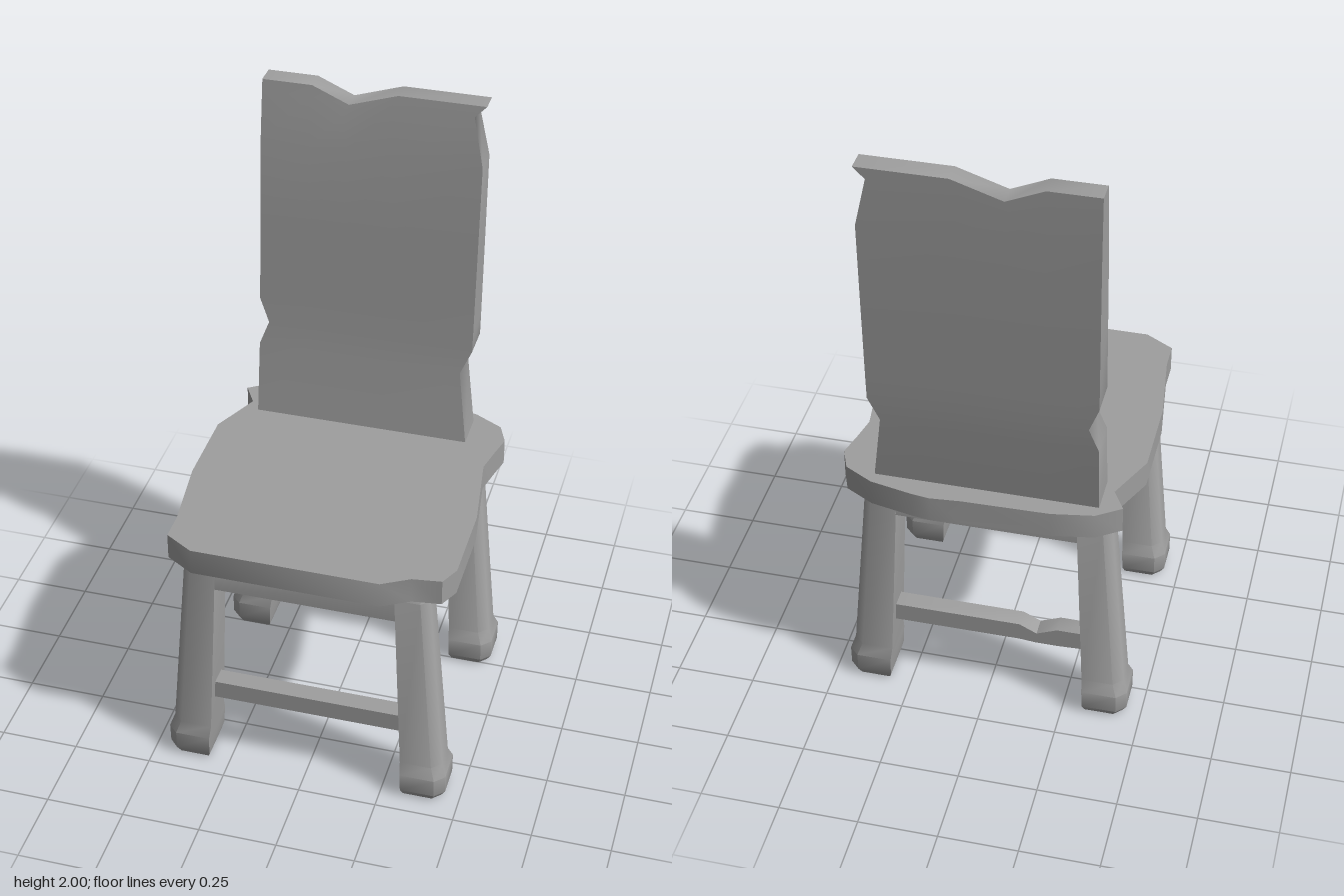
import * as THREE from 'three';
import { toCreasedNormals } from 'three/addons/utils/BufferGeometryUtils.js';

const material = new THREE.MeshStandardMaterial({ color: 0x9e9e9e });
// The legs are open at the sole, so their inside shows.
const legMaterial = new THREE.MeshStandardMaterial({ color: 0x9e9e9e, side: THREE.DoubleSide });

function addMesh(parent, geometry, name, crease, mat = material) {
  const mesh = new THREE.Mesh(toCreasedNormals(geometry, crease), mat);
  mesh.name = name;
  parent.add(mesh);
  return mesh;
}

// Moves every vertex of a geometry by a rule (x, y, z) => [x, y, z].
function reshape(geometry, rule) {
  const p = geometry.attributes.position;
  for (let i = 0; i < p.count; i++) p.setXYZ(i, ...rule(p.getX(i), p.getY(i), p.getZ(i)));
  return geometry;
}

// Worn seat board: irregular outline (x, z), extruded upwards.
function seatGeometry() {
  const outline = [
    [-0.35, -0.445], [-0.425, -0.395], [-0.385, -0.325], [-0.455, -0.17], [-0.455, 0.09],
    [-0.425, 0.33], [-0.425, 0.42], [-0.335, 0.475], [0.25, 0.478], [0.335, 0.43],
    [0.425, 0.418], [0.455, 0.355], [0.455, 0.09], [0.418, -0.17], [0.435, -0.25],
    [0.453, -0.325], [0.425, -0.395], [0.335, -0.445], [0.2, -0.473], [0.145, -0.48],
    [0.05, -0.472], [-0.22, -0.467],
  ];
  const shape = new THREE.Shape(outline.map(([x, z]) => new THREE.Vector2(x, -z)));
  return new THREE.ExtrudeGeometry(shape, { depth: 0.085, bevelEnabled: false })
    .rotateX(-Math.PI / 2).translate(0, 0.79, 0);
}

// Curved backrest with chipped sides and a dip in the top edge.
function backrestGeometry() {
  // y, left edge x, right edge x, front z, back z
  const rows = [
    [0.86, -0.355, 0.335, -0.282, -0.405],
    [1.11, -0.355, 0.30, -0.32, -0.435],
    [1.19, -0.325, 0.335, -0.328, -0.442],
    [1.27, -0.355, 0.335, -0.335, -0.447],
    [1.55, -0.355, 0.335, -0.356, -0.46],
    [1.81, -0.355, 0.335, -0.377, -0.471],
    [1.965, -0.355, 0.30, -0.402, -0.473],
    [2.0, -0.355, 0.335, -0.408, -0.473],
  ];
  const columns = [0, 0.225, 0.39, 0.61, 1];
  const last = rows.length - 1;
  return reshape(new THREE.BoxGeometry(1, 1, 1, 4, last, 1), (x, y, z) => {
    const c = Math.round((x + 0.5) * 4);
    const r = Math.round((y + 0.5) * last);
    const [h, left, right, front, back] = rows[r];
    const dip = c === 2 ? (r === last ? 0.05 : r === last - 1 ? 0.04 : 0) : 0;
    return [left + (right - left) * columns[c], h - dip, z > 0 ? front : back];
  });
}

// Splayed leg for the +x side: outer corners chamfered, inner ones square.
function legGeometry() {
  // y, inner x, outer x, half depth, outer chamfer
  const rings = [
    [0, 0.322, 0.44, 0.066, 0.025],
    [0.025, 0.315, 0.454, 0.08, 0.03],
    [0.09, 0.313, 0.454, 0.083, 0.03],
    [0.13, 0.31, 0.44, 0.067, 0.03],
    [0.77, 0.28, 0.385, 0.055, 0.025],
    [0.792, 0.283, 0.376, 0.045, 0.02],
  ];
  const last = rings.length - 1;
  return reshape(new THREE.CylinderGeometry(1, 1, 1, 6, last, true), (x, y, z) => {
    const [h, inner, outer, d, c] = rings[Math.round((y + 0.5) * last)];
    const corners = [
      [outer - c, d], [outer, d - c], [outer, c - d], [outer - c, -d], [inner, -d], [inner, d],
    ];
    const k = (Math.round(Math.atan2(x, z) / (Math.PI / 3)) + 6) % 6;
    return [corners[k][0], h, corners[k][1]];
  });
}

// Apron flush with the legs, bevelled along its top.
function apronGeometry() {
  const rows = [[0.69, 0.056], [0.77, 0.055], [0.792, 0.045]]; // y, half depth
  return reshape(new THREE.BoxGeometry(0.6, 1, 2, 1, 2), (x, y, z) => {
    const [h, d] = rows[Math.round((y + 0.5) * 2)];
    return [x, h, z * d];
  });
}

// Stretcher between two legs; the worn one has a nick along its length.
function stretcherGeometry(worn) {
  const xs = [-0.335, -0.22, -0.155, -0.1, 0.335];
  const nick = worn ? [0, 0, 0.028, 0, 0] : [0, 0, 0, 0, 0];
  const sag = worn ? [0, 0.005, 0.005, 0, 0] : [0, 0, 0, 0, 0];
  return reshape(new THREE.BoxGeometry(1, 1, 0.06, 4), (x, y, z) => {
    const c = Math.round((x + 0.5) * 4);
    return [xs[c], y > 0 ? 0.29 - nick[c] : 0.228 - sag[c], z];
  });
}

export function createModel() {
  const chair = new THREE.Group();
  chair.name = 'chair';
  addMesh(chair, seatGeometry(), 'seat', 0.55);
  addMesh(chair, backrestGeometry(), 'backrest', 1.1);

  // Front and back leg frames
  for (const [end, z] of [['front', 0.36], ['back', -0.314]]) {
    const frame = new THREE.Group();
    frame.name = `${end}LegFrame`;
    frame.position.z = z;
    addMesh(frame, legGeometry(), `${end}LeftLeg`, 0.85, legMaterial);
    addMesh(frame, legGeometry(), `${end}RightLeg`, 0.85, legMaterial).rotation.y = Math.PI;
    addMesh(frame, apronGeometry(), `${end}Apron`, 0.6);
    addMesh(frame, stretcherGeometry(end === 'back'), `${end}Stretcher`, 0.6);
    chair.add(frame);
  }
  return chair;
}
